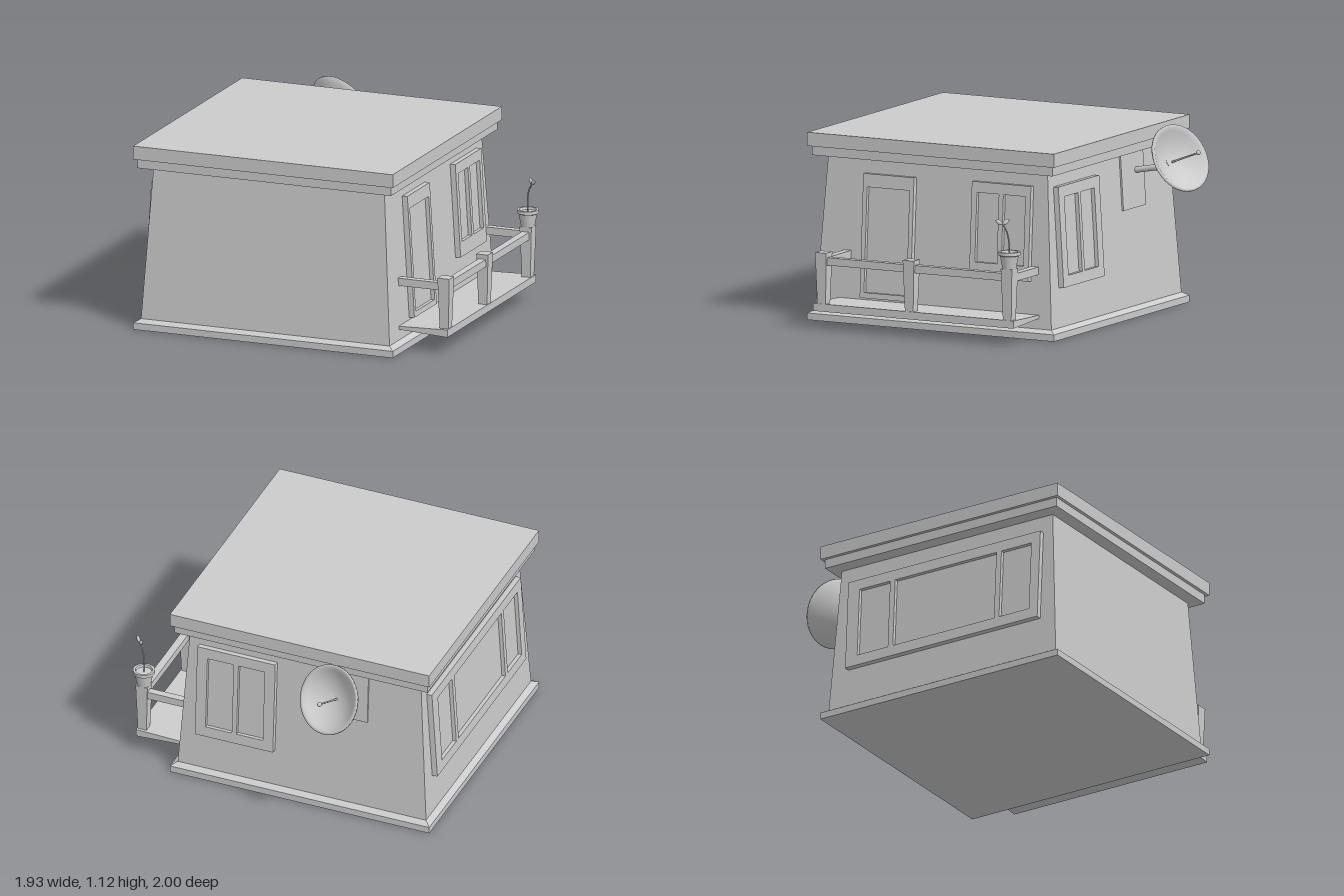
import * as THREE from 'three';

const flat = new THREE.MeshStandardMaterial({ color: 0xcccccc, flatShading: true });
const smooth = new THREE.MeshStandardMaterial({ color: 0xcccccc, side: THREE.DoubleSide });
const V = (x, y, z) => new THREE.Vector3(x, y, z);

function add(parent, name, geo, mat = flat, x = 0, y = 0, z = 0) {
  const m = new THREE.Mesh(geo, mat);
  m.name = name;
  m.position.set(x, y, z);
  parent.add(m);
  return m;
}

// Square solid of revolution: profile of [half width, y]
function squareLathe(profile) {
  const pts = profile.map(([h, y]) => new THREE.Vector2(h * Math.SQRT2, y));
  return new THREE.LatheGeometry(pts, 4).rotateY(Math.PI / 4);
}

// Rod between two points
function rod(parent, name, a, b, r0, r1, sides = 12) {
  const d = b.clone().sub(a);
  const m = add(parent, name, new THREE.CylinderGeometry(r1, r0, d.length(), sides), smooth);
  m.position.copy(a).addScaledVector(d, 0.5);
  m.quaternion.setFromUnitVectors(V(0, 1, 0), d.normalize());
  return m;
}

function rectPath(path, x0, y0, x1, y1) {
  path.moveTo(x0, y0);
  path.lineTo(x1, y0);
  path.lineTo(x1, y1);
  path.lineTo(x0, y1);
  path.closePath();
  return path;
}

// Framed opening, centred on its origin; panes are [x0, y0, x1, y1]
function framed(name, w, h, panes) {
  const g = new THREE.Group();
  g.name = name;
  const shape = rectPath(new THREE.Shape(), -w / 2, -h / 2, w / 2, h / 2);
  for (const p of panes) shape.holes.push(rectPath(new THREE.Path(), ...p));
  add(g, name + 'Frame', new THREE.ExtrudeGeometry(shape, { depth: 0.045, bevelEnabled: false }), flat, 0, 0, -0.012);
  for (const [x0, y0, x1, y1] of panes) {
    add(g, name + 'Panel', new THREE.BoxGeometry(x1 - x0, y1 - y0, 0.02), flat, (x0 + x1) / 2, (y0 + y1) / 2, 0);
  }
  return g;
}

const TILT = Math.atan(0.055 / 0.895);
const wallHalf = (y) => 0.78 - (y - 0.06) * 0.055 / 0.895;

// Put an item on a leaning wall at height y and sideways offset u
function onWall(house, item, turn, u, y) {
  const side = new THREE.Group();
  side.name = item.name + 'Mount';
  side.rotation.y = turn;
  item.position.set(u, y, wallHalf(y));
  item.rotation.x = -TILT;
  side.add(item);
  house.add(side);
}

function makeHouse() {
  const house = new THREE.Group();
  house.name = 'house';
  house.position.set(-0.155, 0, 0.185);
  add(house, 'wallsAndRoof', squareLathe([
    [0, 0], [0.815, 0], [0.815, 0.04], [0.78, 0.06], [0.725, 0.955], [0.795, 0.965],
    [0.795, 1.02], [0.815, 1.02], [0.815, 1.1], [0, 1.1],
  ]));

  const door = framed('door', 0.335, 0.725, [[-0.14, -0.33, 0.14, 0.285]]);
  onWall(house, door, Math.PI / 2, -0.305, 0.515);

  const sideWindow = framed('sideWindow', 0.39, 0.555,
    [[-0.16, -0.19, -0.015, 0.215], [0.015, -0.19, 0.16, 0.215]]);
  onWall(house, sideWindow, Math.PI / 2, 0.44, 0.61);

  const backWindow = framed('backWindow', 0.49, 0.59,
    [[-0.18, -0.23, -0.015, 0.23], [0.015, -0.23, 0.18, 0.23]]);
  onWall(house, backWindow, Math.PI, -0.42, 0.585);

  const wideWindow = framed('wideWindow', 1.32, 0.56,
    [[-0.58, -0.215, -0.37, 0.215], [-0.335, -0.215, 0.36, 0.215], [0.395, -0.215, 0.6, 0.215]]);
  onWall(house, wideWindow, -Math.PI / 2, 0.005, 0.57);

  const plate = new THREE.Group();
  plate.name = 'dishPlate';
  add(plate, 'dishBackPlate', new THREE.BoxGeometry(0.27, 0.32, 0.02));
  onWall(house, plate, Math.PI, 0.265, 0.785);
  return house;
}

function makeDish() {
  const g = new THREE.Group();
  g.name = 'satelliteDish';
  rod(g, 'dishArm', V(-0.46, 0.84, -0.54), V(-0.46, 0.875, -0.73), 0.018, 0.018);
  rod(g, 'dishSocket', V(-0.46, 0.87, -0.71), V(-0.455, 0.91, -0.79), 0.028, 0.045);
  // Bowl axis points backwards and up
  const axis = V(0.28, 0.45, -0.85).normalize();
  const R = 0.205, D = 0.085, outer = [], inner = [];
  for (let i = 0; i <= 10; i++) {
    const t = i / 10;
    outer.push(new THREE.Vector2(R * t, -D * (1 - t * t)));
    inner.unshift(new THREE.Vector2((R - 0.015) * t, 0.012 - (D - 0.005) * (1 - t * t)));
  }
  const lip = [new THREE.Vector2(R, 0.012)];
  const bowl = add(g, 'dishBowl', new THREE.LatheGeometry([...outer, ...lip, ...inner], 40), smooth, -0.44, 0.935, -0.855);
  bowl.quaternion.setFromUnitVectors(V(0, 1, 0), axis);
  const tip = V(-0.43, 0.98, -0.985);
  rod(g, 'antenna', V(-0.46, 0.905, -0.79), tip, 0.006, 0.005, 8);
  add(g, 'antennaTip', new THREE.SphereGeometry(0.014, 12, 8), smooth, tip.x, tip.y, tip.z);
  return g;
}

function makeBalcony() {
  const g = new THREE.Group();
  g.name = 'balcony';
  // Floor thickens slightly outwards
  const section = new THREE.Shape([[0.6, 0.122], [0.925, 0.105], [0.925, 0.15], [0.6, 0.14]]
    .map(([x, y]) => new THREE.Vector2(x, y)));
  add(g, 'balconyFloor', new THREE.ExtrudeGeometry(section, { depth: 1.325, bevelEnabled: false }), flat, 0, 0, -0.51);
  for (const z of [0.762, 0.183, -0.465]) {
    add(g, 'balconyPost', squareLathe([[0, 0.14], [0.027, 0.14], [0.037, 0.45], [0, 0.45]]), flat, 0.893, 0, z);
  }
  add(g, 'frontRail', new THREE.BoxGeometry(0.045, 0.045, 1.23), flat, 0.893, 0.4, 0.15);
  for (const z of [0.762, -0.475]) {
    add(g, 'sideRail', new THREE.BoxGeometry(0.29, 0.045, 0.045), flat, 0.745, 0.397, z);
  }
  return g;
}

function makePlant() {
  const g = new THREE.Group();
  g.name = 'pottedPlant';
  g.position.set(0.893, 0.45, -0.465);
  const pot = [[0, 0], [0.04, 0], [0.054, 0.075], [0.064, 0.08], [0.064, 0.1], [0.05, 0.1], [0.046, 0.085], [0, 0.085]];
  add(g, 'pot', new THREE.LatheGeometry(pot.map(([r, y]) => new THREE.Vector2(r, y)), 24),
    new THREE.MeshStandardMaterial({ color: 0xcccccc, flatShading: true }));
  const stem = new THREE.CatmullRomCurve3([V(0, 0.08, 0), V(0, 0.16, 0.003), V(0.012, 0.22, 0.012), V(0.037, 0.262, 0.025)]);
  add(g, 'stem', new THREE.TubeGeometry(stem, 16, 0.0045, 6), smooth);
  // Pair of leaves spreading from the stem tip
  for (const s of [-1, 1]) {
    const leaf = add(g, 'leaf', new THREE.SphereGeometry(1, 10, 6), smooth, 0.037 + s * 0.014, 0.275, 0.025 + s * 0.014);
    leaf.scale.set(0.025, 0.013, 0.01);
    leaf.rotation.set(0, -Math.PI / 4, s * 0.6, 'YXZ');
  }
  return g;
}

export function createModel() {
  const model = new THREE.Group();
  model.name = 'smallHouse';
  model.add(makeHouse(), makeDish(), makeBalcony(), makePlant());
  return model;
}
